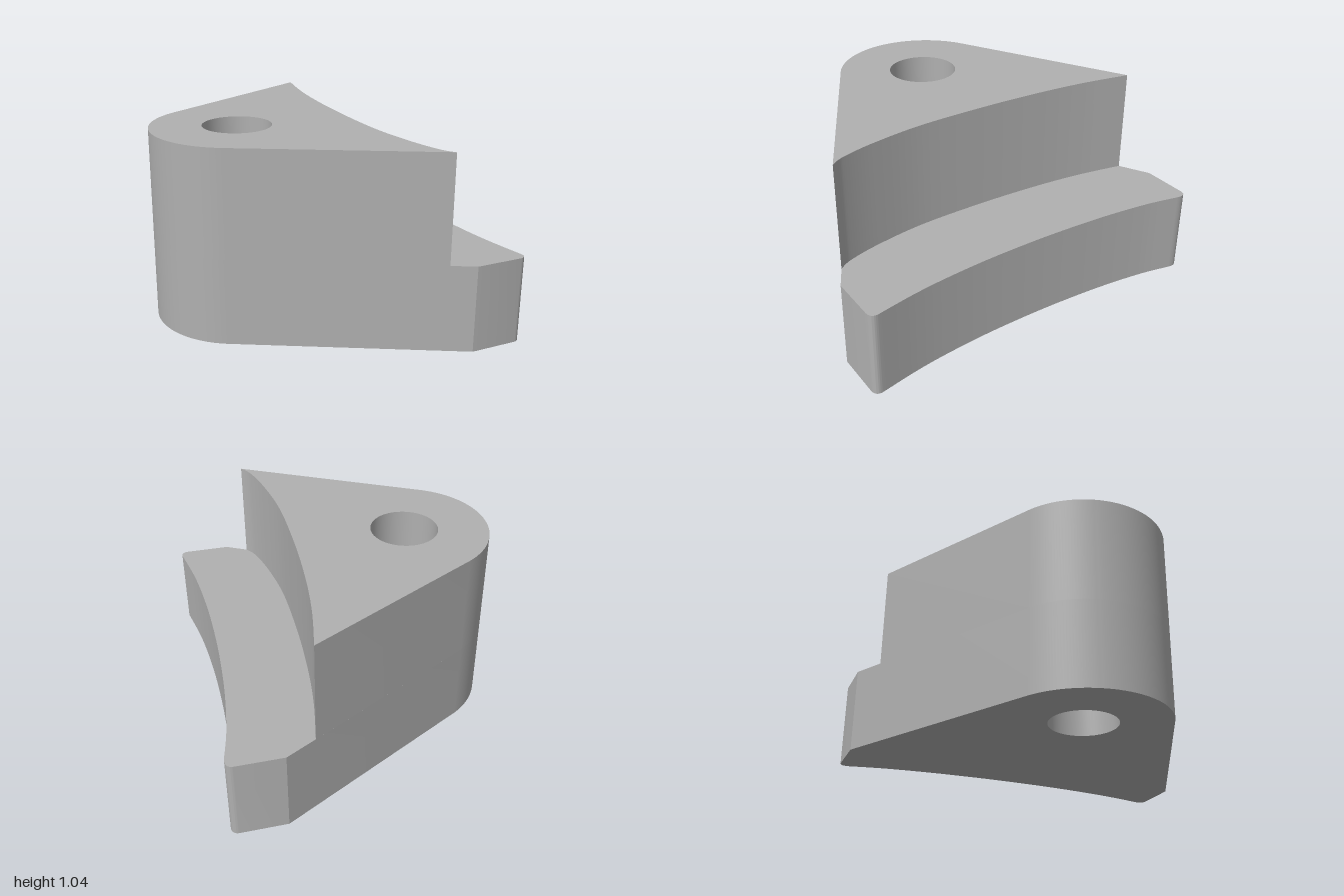
import * as THREE from 'three';
import { toCreasedNormals } from 'three/addons/utils/BufferGeometryUtils.js';

const HEIGHT = 1.04, STEP = 0.465;      // full height and ledge height
const PIVOT = [-0.39, -0.085];          // centre of hole and rounded nose (x, -z)

const points = (list) => list.map(([x, y]) => new THREE.Vector2(x, y));

// Rounded nose around the hole, plus the hole itself, closing the outline
function addNose(shape) {
  shape.absarc(...PIVOT, 0.46, 2.18, 4.28, false);
  shape.closePath();
  shape.holes.push(new THREE.Path().absarc(...PIVOT, 0.184, 0, Math.PI * 2, true));
  return shape;
}

// Extrude a plan outline upwards from y = bottom to y = top
function slab(name, shape, bottom, top, material) {
  const extruded = new THREE.ExtrudeGeometry(shape, {
    depth: top - bottom, bevelEnabled: false, curveSegments: 32,
  });
  extruded.rotateX(-Math.PI / 2).translate(0, bottom, 0);
  const mesh = new THREE.Mesh(toCreasedNormals(extruded, 0.4), material);
  mesh.name = name;
  return mesh;
}

export function createModel() {
  const group = new THREE.Group();
  group.name = 'steppedWedgeBlock';
  const grey = new THREE.MeshStandardMaterial({ color: 0xb0b0b0 });
  grey.name = 'plain grey';

  // Base: wide wedge with filleted tips and a concave outer face
  const base = new THREE.Shape();
  base.moveTo(0.56, -0.997);
  base.lineTo(0.81, -0.975);
  base.quadraticCurveTo(0.858, -0.968, 0.843, -0.92);
  base.splineThru(points([
    [0.787, -0.72], [0.746, -0.53], [0.706, -0.28], [0.676, 0],
    [0.66, 0.25], [0.654, 0.5], [0.662, 0.75], [0.684, 0.94],
  ]));
  base.quadraticCurveTo(0.69, 1.0, 0.645, 1.0);
  base.lineTo(0.39, 0.978);
  group.add(slab('ledgeBase', addNose(base), 0, STEP, grey));

  // Upper block: same wedge, cut back by a concave face
  const upper = new THREE.Shape();
  upper.moveTo(0.435, -0.943);
  upper.splineThru(points([
    [0.385, -0.873], [0.32, -0.69], [0.255, -0.4], [0.216, 0],
    [0.203, 0.35], [0.21, 0.62], [0.235, 0.876],
  ]));
  group.add(slab('upperBlock', addNose(upper), STEP, HEIGHT, grey));

  return group;
}
